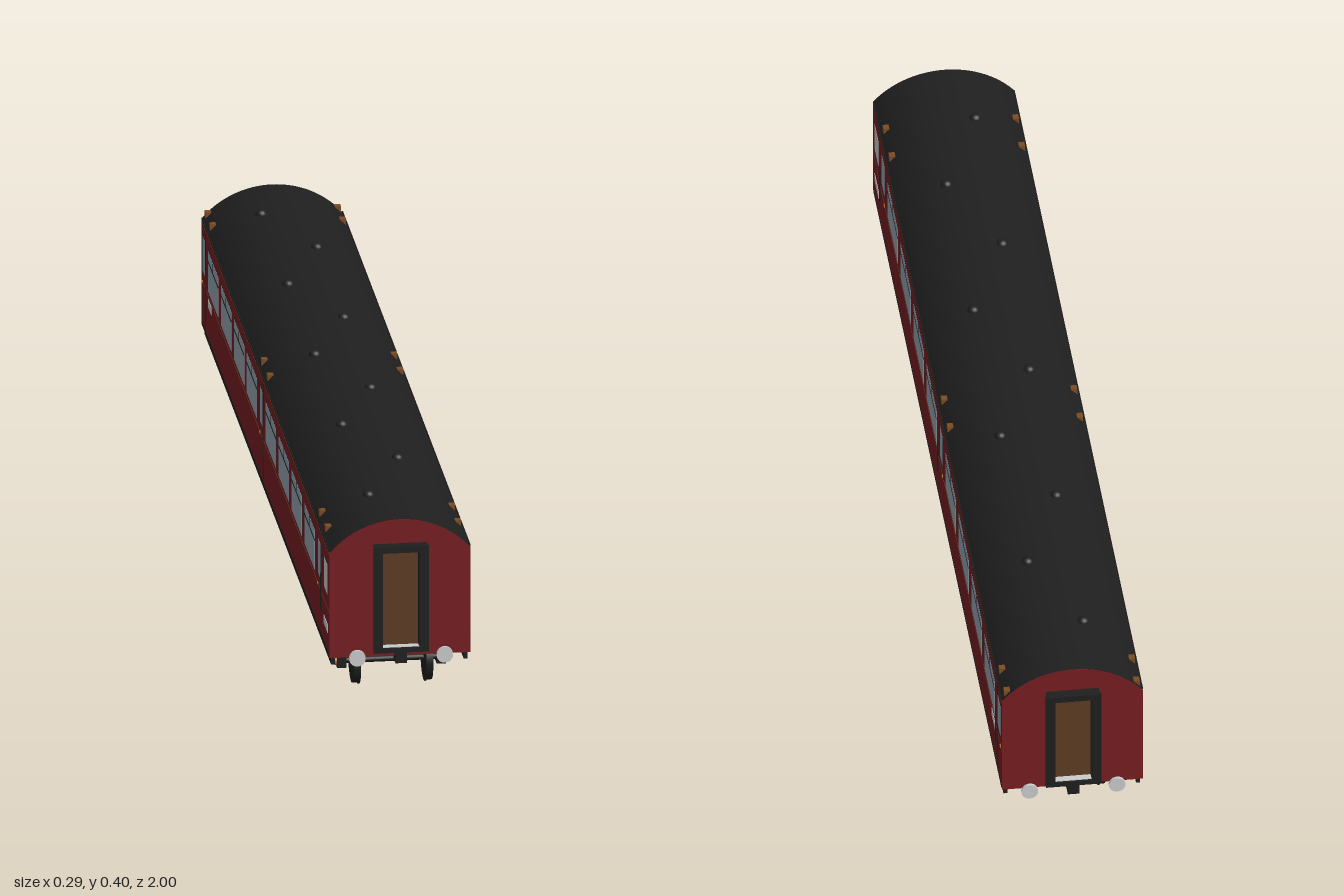
import * as THREE from 'three';

const mat = (color) => new THREE.MeshStandardMaterial({ color });
const RED = mat(0x761d21), BLACK = mat(0x1f1f1f), GLASS = mat(0x93a3af), BROWN = mat(0x5e3c24);
const GOLD = mat(0xa87424), WHITE = mat(0xcccccc), STEEL = mat(0xbcbcbc), ORANGE = mat(0x7c4c24);

const W = 0.14, SKIRT = 0.105, FLOOR = 0.114, EAVE = 0.325, RISE = 0.065, HALF = 0.978;
const R = (W * W + RISE * RISE) / (2 * RISE), CY = EAVE + RISE - R;

function add(parent, name, geometry, material, x = 0, y = 0, z = 0) {
  const mesh = new THREE.Mesh(geometry, material);
  mesh.name = name;
  mesh.position.set(x, y, z);
  parent.add(mesh);
  return mesh;
}
const box = (p, name, m, w, h, d, x, y, z) => add(p, name, new THREE.BoxGeometry(w, h, d), m, x, y, z);

// Cylinder lying along x or z
function rod(p, name, m, r, len, axis, x, y, z, sides = 24) {
  const g = new THREE.CylinderGeometry(r, r, len, sides);
  axis === 'x' ? g.rotateZ(Math.PI / 2) : g.rotateX(Math.PI / 2);
  return add(p, name, g, m, x, y, z);
}

function extrude(shape, length) {
  const g = new THREE.ExtrudeGeometry(shape, { depth: length, bevelEnabled: false, curveSegments: 32 });
  return g.translate(0, 0, -length / 2);
}

function roofArc(shape, r, halfWidth, back = false) {
  const a = Math.acos(halfWidth / r);
  shape.absarc(0, CY, r, back ? Math.PI - a : a, back ? a : Math.PI - a, back);
}

// Straight sides under a curved top
function bodyShape() {
  const s = new THREE.Shape();
  s.moveTo(-W, FLOOR);
  s.lineTo(W, FLOOR);
  s.lineTo(W, EAVE);
  roofArc(s, R, W);
  s.closePath();
  return s;
}

// Thin shell that lies over the curved top
function roofShape() {
  const s = new THREE.Shape();
  roofArc(s, R + 0.0008, W);
  roofArc(s, R - 0.004, W - 0.004, true);
  s.closePath();
  return s;
}

const DOORS = [0.823, -0.06, -0.938];
const WINDOWS = [0.678, 0.48, 0.284, 0.086, -0.204, -0.4, -0.598, -0.796];

function buildSide(s) {
  const g = new THREE.Group();
  g.name = s > 0 ? 'leftSide' : 'rightSide';
  const panel = (name, m, z, y, d, h, t = 0.001) => box(g, name, m, t * 2, h, d, s * W, y, z);

  // Saloon windows with a two-pane sliding vent
  for (const z of WINDOWS) {
    panel('windowFrame', BLACK, z, 0.2525, 0.159, 0.087, 0.0006);
    panel('windowGlass', GLASS, z, 0.2525, 0.156, 0.084);
    panel('ventBar', BLACK, z, 0.274, 0.156, 0.004, 0.0015);
    panel('ventDivider', BLACK, z, 0.285, 0.004, 0.02, 0.0015);
  }

  // Doors: window, edges, handle, grab rail and a pair of roof-edge brackets
  for (const z of DOORS) {
    panel('doorWindowFrame', BLACK, z, 0.26, 0.041, 0.075, 0.0006);
    panel('doorWindow', GLASS, z, 0.26, 0.038, 0.072);
    for (const e of [-1, 1]) panel('doorEdge', BLACK, z + e * 0.028, 0.216, 0.0015, 0.206, 0.0006);
    panel('doorHandle', GOLD, z - 0.021, 0.2, 0.008, 0.004, 0.002);
    add(g, 'grabRail', new THREE.CylinderGeometry(0.0014, 0.0014, 0.078, 8), BLACK, s * (W + 0.0025), 0.204, z + 0.039);
    for (const e of [-1, 1]) {
      box(g, 'railBracket', BLACK, 0.004, 0.003, 0.003, s * (W + 0.0012), 0.204 + e * 0.036, z + 0.039);
      // keep the outermost bracket inside the end of the roof
      const zb = Math.max(z + e * 0.045, -0.965);
      box(g, 'edgeBracket', ORANGE, 0.012, 0.014, 0.014, s * 0.129, 0.338, zb);
    }
  }

  // Frosted washroom window and number panels
  panel('washroomFrame', BLACK, 0.922, 0.259, 0.057, 0.065, 0.0006);
  panel('washroomWindow', WHITE, 0.922, 0.259, 0.054, 0.062);
  panel('lowerPanel', WHITE, 0.922, 0.157, 0.062, 0.017);
  panel('upperPanel', WHITE, -0.85, 0.185, 0.05, 0.017);

  // Lining, gutter, skirt and solebar
  panel('waistStripe', ORANGE, 0, 0.199, HALF * 2, 0.002, 0.0004);
  panel('eaveStripe', ORANGE, 0, 0.3215, HALF * 2, 0.003, 0.0004);
  panel('gutter', BLACK, 0, 0.327, HALF * 2 - 0.01, 0.005, 0.0008);
  panel('skirtLine', BLACK, 0, 0.1085, HALF * 2 - 0.01, 0.007, 0.0005);
  box(g, 'skirt', RED, 0.006, 0.01, HALF * 2, s * (W - 0.003), 0.11, 0);
  box(g, 'solebar', BLACK, 0.008, 0.018, HALF * 2 - 0.02, s * 0.132, 0.097, 0);
  return g;
}

function buildEnd() {
  const g = new THREE.Group();
  box(g, 'endSkirt', RED, W * 2, FLOOR - SKIRT, 0.008, 0, (FLOOR + SKIRT) / 2, HALF - 0.004);

  // Gangway frame around a recessed door
  const frame = new THREE.Shape();
  frame.moveTo(-0.055, 0.118).lineTo(0.055, 0.118).lineTo(0.055, 0.34).lineTo(-0.055, 0.34).closePath();
  const hole = new THREE.Path();
  hole.moveTo(-0.037, 0.128).lineTo(-0.037, 0.327).lineTo(0.037, 0.327).lineTo(0.037, 0.128).closePath();
  frame.holes.push(hole);
  add(g, 'gangwayBellows', extrude(frame, 0.014), BLACK, 0, 0, 0.985).scale.set(0.96, 1, 1);
  add(g, 'gangwayFaceplate', extrude(frame, 0.008), BLACK, 0, 0, 0.996);
  box(g, 'gangwayDoor', BROWN, 0.074, 0.2, 0.004, 0, 0.228, 0.98);
  box(g, 'gangwaySill', STEEL, 0.072, 0.002, 0.016, 0, 0.1285, 0.988);

  // Buffers and coupler
  for (const s of [-1, 1]) {
    rod(g, 'bufferShank', BLACK, 0.008, 0.026, 'z', s * 0.087, 0.108, 0.98);
    rod(g, 'bufferHead', STEEL, 0.0165, 0.006, 'z', s * 0.087, 0.108, 0.993);
  }
  box(g, 'coupler', BLACK, 0.023, 0.024, 0.03, 0, 0.107, 0.982);
  return g;
}

function buildBogie() {
  const g = new THREE.Group();
  g.name = 'bogie';
  const axleY = 0.048;
  for (const z of [-0.1285, 0.1285]) {
    rod(g, 'axle', BLACK, 0.006, 0.21, 'x', 0, axleY, z, 16);
    for (const s of [-1, 1]) {
      rod(g, 'wheelTread', BLACK, 0.0455, 0.012, 'x', s * 0.073, axleY, z, 32);
      rod(g, 'wheelFlange', BLACK, 0.048, 0.003, 'x', s * 0.0665, axleY, z, 32);
      box(g, 'axleBox', BLACK, 0.018, 0.024, 0.024, s * 0.099, axleY, z);
      rod(g, 'axleCap', GOLD, 0.009, 0.006, 'x', s * 0.109, axleY, z, 16);
    }
  }
  for (const s of [-1, 1]) {
    box(g, 'sideFrame', BLACK, 0.01, 0.016, 0.3, s * 0.096, 0.063, 0);
    // Coil springs
    for (const z of [-0.015, 0.015]) {
      for (let i = 0; i < 4; i++) {
        const coil = new THREE.TorusGeometry(0.0095, 0.0035, 6, 14).rotateX(Math.PI / 2);
        add(g, 'coilSpring', coil, RED, s * 0.104, 0.059 + i * 0.0075, z);
      }
    }
  }
  box(g, 'bolster', BLACK, 0.226, 0.008, 0.05, 0, 0.086, 0);
  box(g, 'bolsterCentre', BLACK, 0.06, 0.01, 0.05, 0, 0.078, 0);
  for (const s of [-1, 1]) box(g, 'bolsterArm', BLACK, 0.066, 0.022, 0.03, s * 0.058, 0.071, 0);
  add(g, 'pivot', new THREE.CylinderGeometry(0.022, 0.022, 0.028, 20), BLACK, 0, 0.1, 0);
  return g;
}

export function createModel() {
  const model = new THREE.Group();
  model.name = 'railwayCoach';

  // Body shell, roof and recessed floor
  add(model, 'body', extrude(bodyShape(), HALF * 2), RED);
  add(model, 'roof', extrude(roofShape(), HALF * 2 - 0.002), BLACK);
  box(model, 'floor', BLACK, 0.27, 0.004, HALF * 2 - 0.01, 0, FLOOR - 0.001, 0);

  // Roof ventilators, alternating from side to side
  for (let i = -4; i <= 4; i++) {
    const x = i % 2 ? 0.042 : -0.042;
    const dome = new THREE.SphereGeometry(0.012, 16, 6, 0, Math.PI * 2, 0, Math.PI / 2).scale(1, 0.9, 1);
    add(model, 'ventilator', dome, BLACK, x, 0.386, i * 0.205);
    add(model, 'ventilatorBase', new THREE.CylinderGeometry(0.007, 0.007, 0.008, 12), BLACK, x, 0.384, i * 0.205);
  }

  model.add(buildSide(1), buildSide(-1));

  for (const s of [1, -1]) {
    const end = buildEnd();
    end.name = s > 0 ? 'frontEnd' : 'backEnd';
    end.rotation.y = s > 0 ? 0 : Math.PI;
    const bogie = buildBogie();
    bogie.position.z = s * 0.7075;
    model.add(end, bogie);
  }

  // Equipment boxes: x, z, length, bottom
  for (const [x, z, len, low] of [[-0.07, 0.373, 0.155, 0.05], [0.07, 0.105, 0.155, 0.044], [-0.07, -0.107, 0.097, 0.054], [0.07, -0.357, 0.155, 0.05]]) {
    box(model, 'equipmentBox', BLACK, 0.076, FLOOR - low, len, x, (FLOOR + low) / 2, z);
  }
  return model;
}
